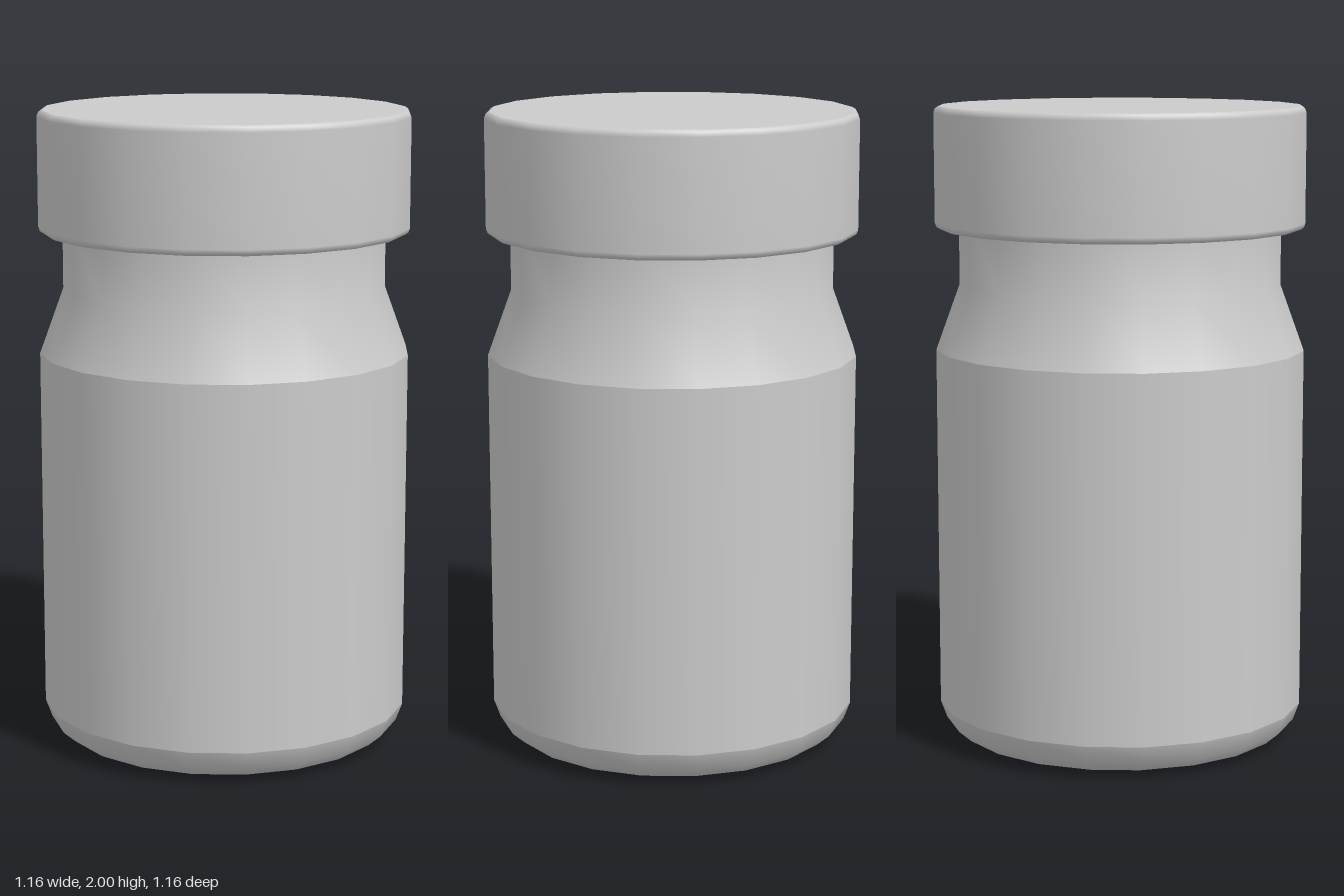
import * as THREE from 'three';

const SIDES = 20;
const material = new THREE.MeshStandardMaterial({ color: 0xcccccc });

// Revolves one smooth run of [radius, height] points, listed bottom to top.
function turned(name, profile) {
  const points = profile.map(([r, y]) => new THREE.Vector2(r, y));
  const mesh = new THREE.Mesh(new THREE.LatheGeometry(points, SIDES), material);
  mesh.name = name;
  return mesh;
}

function part(name, ...meshes) {
  const group = new THREE.Group();
  group.name = name;
  group.add(...meshes);
  return group;
}

export function createModel() {
  const model = new THREE.Group();
  model.name = 'jar';

  // Bottle: flat base, rounded heel, straight wall, sloped shoulder and neck
  model.add(part('bottle',
    turned('base', [[0, 0], [0.46, 0]]),
    turned('heel', [[0.46, 0], [0.52, 0.02], [0.56, 0.055], [0.58, 0.11]]),
    turned('wall', [[0.58, 0.11], [0.58, 1.245]]),
    turned('shoulderAndNeck', [[0.58, 1.245], [0.505, 1.45], [0.505, 1.64]]),
  ));

  // Lid: overhanging drum with small bevels at both rims
  model.add(part('lid',
    turned('lidUnderside', [[0.5, 1.622], [0.565, 1.622]]),
    turned('lidSide', [[0.565, 1.622], [0.575, 1.628], [0.58, 1.642], [0.58, 1.98], [0.575, 1.994], [0.565, 2]]),
    turned('lidTop', [[0.565, 2], [0, 2]]),
  ));

  return model;
}
